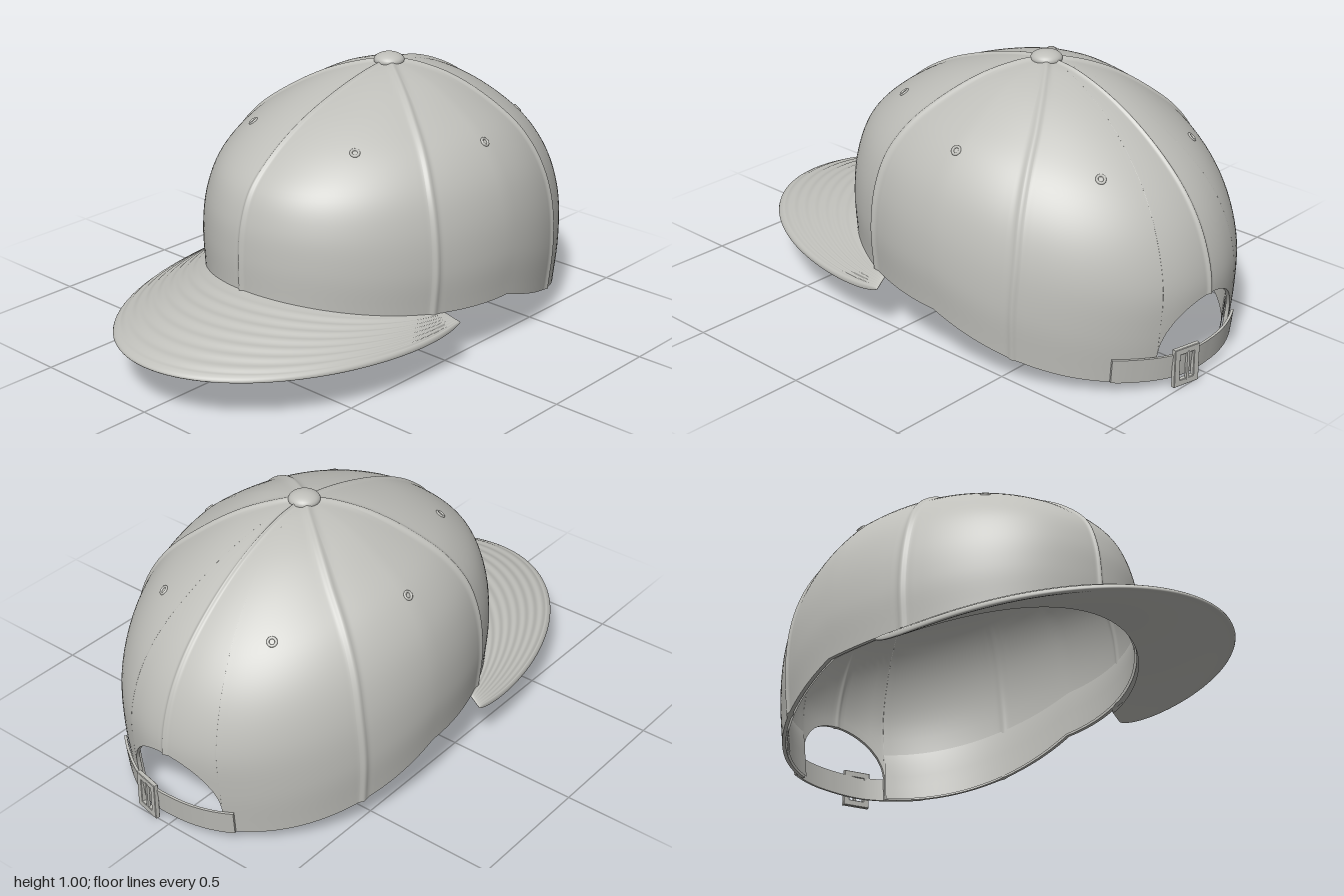
import * as THREE from 'three';
import { mergeVertices, toCreasedNormals } from 'three/addons/utils/BufferGeometryUtils.js';

const RAD = Math.PI / 180, APEX_Z = -0.25, HOLE = 20;
const SEAMS = [0, 64, 116, 180, -116, -64, -180];

// Crown profiles (radius, height) from the apex down to the rim
const spline = (pts) => new THREE.CatmullRomCurve3(pts.map(([r, y]) => new THREE.Vector3(r, y, 0)));
const SIDE = spline([[0, .975], [.08, .965], [.2, .93], [.33, .86], [.45, .77], [.53, .66], [.575, .53], [.592, .37], [.58, .205]]);
const FRONT = spline([[0, .975], [.13, .955], [.3, .91], [.47, .845], [.62, .755], [.72, .66], [.765, .55], [.78, .43], [.78, .3]]);
const BACK = spline([[0, .975], [.14, .955], [.32, .885], [.49, .775], [.62, .65], [.7, .52], [.745, .36], [.74, .2], [.72, .03]]);

const rimY = (c) => c > 0 ? .205 + .095 * c * c : .205 - .175 * (1 - Math.pow(1 + Math.max(c, -1), 1.5));

// Point on the crown: a = degrees from the front toward +x, s = 0 apex .. 1 rim
function crownPoint(a, s, off = 0, ridge = 0) {
  const c = Math.cos(a * RAD), n = Math.sin(a * RAD), w = c * c;
  const side = SIDE.getPoint(s), end = (c > 0 ? FRONT : BACK).getPoint(s);
  const endRim = c > 0 ? .3 : .03;
  let y = side.y * (1 - w) + end.y * w;
  y += (rimY(c) - (.205 * (1 - w) + endRim * w)) * s * s;
  const p = new THREE.Vector3(side.x * n, y, APEX_Z + end.x * c);
  let bump = off;
  if (ridge) {
    const r = Math.hypot(side.x * n, end.x * c);
    for (const q of SEAMS.slice(0, 6)) {
      const d = (a - q) * RAD;
      if (Math.cos(d) > .5) bump += ridge * Math.exp(-((r * Math.sin(d) / .011) ** 2));
    }
  }
  return p.addScaledVector(new THREE.Vector3(p.x, Math.max(0, y - .3), p.z - APEX_Z).normalize(), bump);
}

// Profile parameter at which the crown reaches height y
function sAtY(a, y) {
  let lo = 0, hi = 1;
  for (let i = 0; i < 24; i++) {
    const m = (lo + hi) / 2;
    if (crownPoint(a, m).y > y) lo = m; else hi = m;
  }
  return lo;
}

// Bottom of each column: the rim, or the arch of the rear opening
function bottomS(a) {
  const d = (180 - Math.abs(a)) / HOLE;
  return d < 1 ? sAtY(a, .12 + .19 * Math.sqrt(1 - d * d)) : 1;
}

const range = (n, a = 0, b = 1) => Array.from({ length: n + 1 }, (_, i) => a + (b - a) * i / n);

// Surface from a grid of points, front side where u runs right and v runs down
function grid(us, vs, fn, flip = false) {
  const pos = [], idx = [], n = vs.length;
  us.forEach((u, i) => vs.forEach((v, j) => {
    pos.push(...fn(u, v, i).toArray());
    if (i && j) {
      const d = i * n + j, b = d - n, c = d - 1, a = b - 1;
      idx.push(...(flip ? [a, c, b, c, d, b] : [a, b, c, c, b, d]));
    }
  }));
  const g = new THREE.BufferGeometry();
  g.setAttribute('position', new THREE.Float32BufferAttribute(pos, 3));
  g.setIndex(idx);
  const m = mergeVertices(g, 1e-5);
  m.computeVertexNormals();
  return m;
}

export function createModel() {
  const cap = new THREE.Group();
  cap.name = 'cap';
  const fabric = new THREE.MeshStandardMaterial({ color: 0xbfbfba, side: THREE.DoubleSide });
  fabric.name = 'grey fabric';
  const add = (name, geo) => {
    const m = new THREE.Mesh(geo, fabric);
    m.name = name;
    cap.add(m);
    return m;
  };

  // Crown columns, closer together at the seams and the edge of the opening
  const set = new Set(range(144, -180, 180));
  for (const q of SEAMS) for (const d of range(16, -3.2, 3.2)) if (Math.abs(q + d) <= 180) set.add(q + d);
  for (const k of [-1, 1]) for (const d of [HOLE - 1, HOLE - .5, HOLE - .15, HOLE - .02, HOLE + .02]) set.add(k * (180 - d));
  const angles = [...set].sort((a, b) => a - b);
  const ends = angles.map(bottomS);

  add('crown', grid(angles, range(48), (a, v, i) => crownPoint(a, v * ends[i], 0, .008)));
  add('crownLining', grid(angles, range(32), (a, v, i) => crownPoint(a, v * ends[i], -.014, -.003), true));
  add('crownHem', grid(angles, [0, 1], (a, v, i) => crownPoint(a, ends[i], -.014 * v, v ? -.003 : .008)));

  // Sweatband inside the rim, ending at the opening
  const bandEdge = 180 - HOLE - .1;
  add('sweatband', grid(range(100, -bandEdge, bandEdge), [0, .25, .5, .75, 1],
    (a, v) => crownPoint(a, .86 + .138 * v, v === 0 ? -.015 : -.022), true));

  // Visor: a closed loop of top and underside, with faint stitched rows
  const visorU = range(96, -1, 1).map((t) => Math.sin(t * Math.PI / 2));
  const topV = range(60).map((t) => 1 - (1 - t) ** 1.25);
  const visorV = [...topV, ...topV.slice(0, -1).reverse().map((v) => 2 - v)];
  add('visor', grid(visorU, visorV, (u, w) => {
    const top = w <= 1, v = top ? w : 2 - w;
    const b = u * 95 * RAD, tip = Math.abs(u) ** 14;
    const p = crownPoint(u * 68, 1, -.008);
    const outer = new THREE.Vector3(.588 * Math.sin(b), .173 - .014 * Math.sin(b) ** 2 + .028 * tip, .1 + .897 * Math.cos(b));
    p.y -= .008;
    p.lerp(outer, v);
    p.y += .012 * Math.sin(Math.PI * v) * Math.cos(b) ** 2;
    const half = .013 * Math.sqrt(Math.max(0, 1 - v ** 24)) * Math.sqrt(Math.max(0, 1 - Math.abs(u) ** 40));
    p.y += top ? half : -half;
    if (top && v > .1 && v < .94) p.y += .0022 * Math.cos(v * Math.PI * 2 * 8) * (1 - tip);
    return p;
  }));

  // Button on the apex
  const button = add('topButton', new THREE.SphereGeometry(.057, 32, 20));
  button.scale.y = .5;
  button.position.set(0, .973, APEX_Z);

  // Eyelets, one per panel
  for (const [a, s] of [[37, .46], [90, .51], [143, .455]]) for (const k of [-1, 1]) {
    const p = crownPoint(a * k, s);
    const du = crownPoint(a * k + 1, s).sub(p), dv = crownPoint(a * k, s + .01).sub(p);
    const eyelet = add('eyelet', new THREE.TorusGeometry(.014, .005, 8, 20));
    eyelet.position.copy(p);
    eyelet.lookAt(p.clone().add(dv.cross(du).normalize()));
  }

  // Closing strap across the opening; the free end lies on the crown
  const strapA = [145, ...range(40, 145, 204), 204];
  const strap = grid(strapA, [0, 1, 2, 3, 4], (a, v, i) => {
    const cap0 = i === 0 || i === strapA.length - 1;
    const high = v === 0 || v > 2, outside = v < 2 || v === 4;
    const lift = .008 + .008 * Math.max(0, 1 - Math.abs(a - 168) / 14);
    const base = rimY(Math.cos(a * RAD)) + .002;
    const y = cap0 ? base + .045 : base + (high ? .092 : 0);
    return crownPoint(a, sAtY(a, y), lift + (cap0 ? 0 : outside ? .005 : -.005));
  });
  add('strap', toCreasedNormals(strap, .6));

  // Buckle frame with its centre bar
  const rect = (C, w, h) => {
    const c = new C();
    c.moveTo(-w, -h).lineTo(w, -h).lineTo(w, h).lineTo(-w, h).closePath();
    return c;
  };
  const frame = rect(THREE.Shape, .052, .07);
  frame.holes.push(rect(THREE.Path, .032, .05));
  const buckle = new THREE.Group();
  buckle.name = 'buckle';
  const frameMesh = add('buckleFrame', new THREE.ExtrudeGeometry(frame, {
    depth: .014, bevelEnabled: true, bevelSize: .002, bevelThickness: .002, bevelSegments: 1 }));
  const bar = add('buckleBar', new THREE.BoxGeometry(.01, .11, .01));
  bar.position.set(.004, 0, .012);
  buckle.add(frameMesh, bar);
  buckle.position.copy(crownPoint(170, sAtY(170, .073), .016)).setY(.073);
  buckle.rotation.y = Math.atan2(Math.sin(170 * RAD) / .585, Math.cos(170 * RAD) / .72);
  cap.add(buckle);

  return cap;
}
